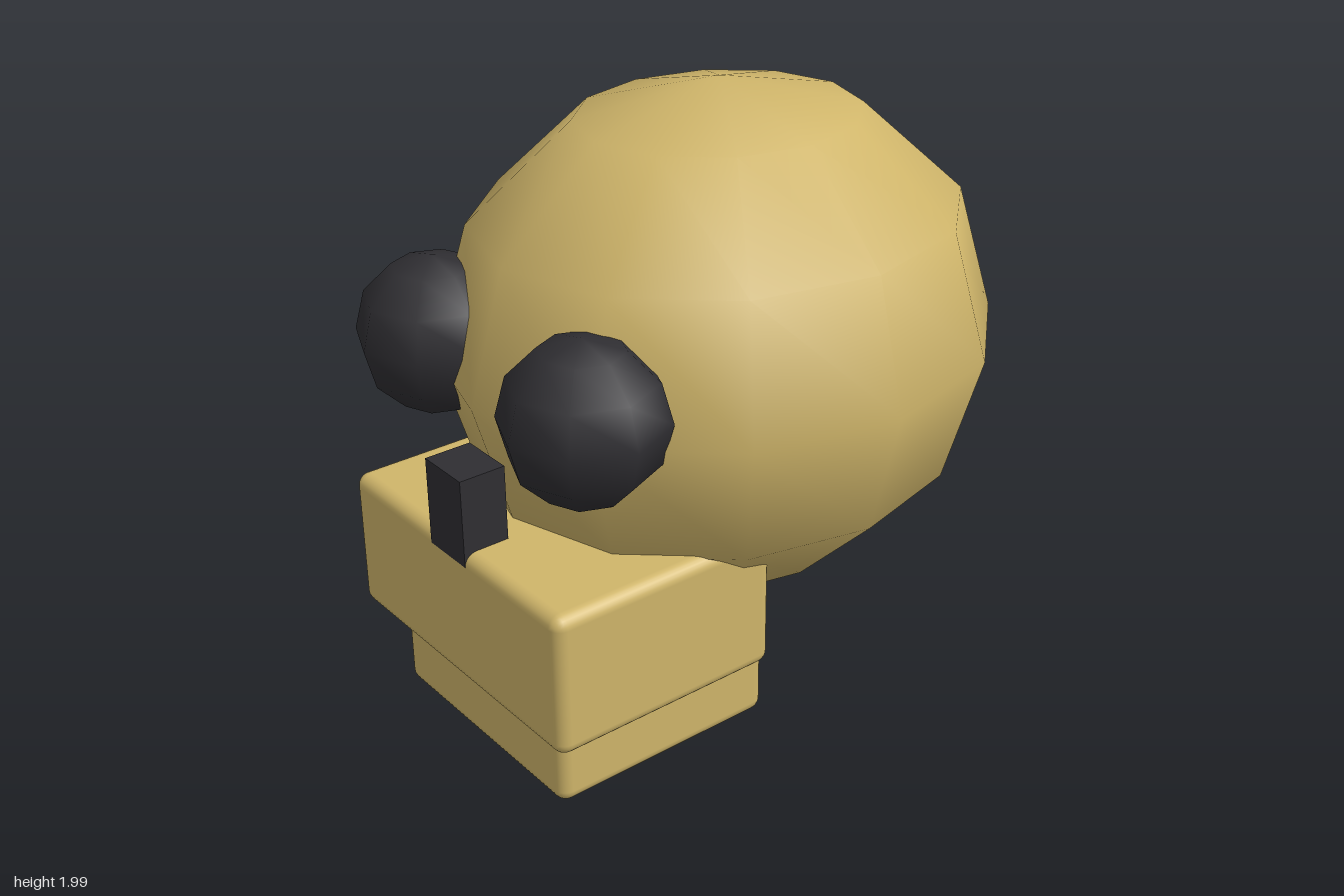
import * as THREE from 'three';
import { RoundedBoxGeometry } from 'three/addons/geometries/RoundedBoxGeometry.js';

export function createModel() {
  const model = new THREE.Group();
  model.name = 'skull';
  const bone = new THREE.MeshStandardMaterial({ color: 0xcfb56a });
  const dark = new THREE.MeshStandardMaterial({ color: 0x2f2e32 });

  const add = (name, geometry, material, x, y, z) => {
    const mesh = new THREE.Mesh(geometry, material);
    mesh.name = name;
    mesh.position.set(x, y, z);
    model.add(mesh);
    return mesh;
  };

  // Cranium: low-poly smooth ball, stretched front to back
  const cranium = new THREE.SphereGeometry(1, 12, 6);
  cranium.scale(0.833, 0.833, 0.935);
  cranium.computeVertexNormals();
  // Keep the shading continuous across the seam and poles
  const p = cranium.attributes.position, n = cranium.attributes.normal;
  const v = new THREE.Vector3();
  for (let i = 0; i < p.count; i++) {
    v.set(p.getX(i) / 0.694, p.getY(i) / 0.694, p.getZ(i) / 0.874).normalize();
    n.setXYZ(i, v.x, v.y, v.z);
  }
  add('cranium', cranium, bone, 0, 1.167, -0.065);

  // Upper and lower jaw: bevelled blocks
  add('upperJaw', new RoundedBoxGeometry(1.12, 0.475, 0.8, 3, 0.042), bone, 0, 0.525, 0.582);
  add('lowerJaw', new RoundedBoxGeometry(0.88, 0.395, 0.8, 3, 0.042), bone, 0, 0.203, 0.503);

  // Nose: upright block flush with the front of the jaw
  add('nose', new THREE.BoxGeometry(0.188, 0.29, 0.155), dark, 0, 0.865, 0.905);

  // Eye sockets: dark balls sunk into the cranium
  for (const [name, side] of [['leftEye', 1], ['rightEye', -1]]) {
    add(name, new THREE.SphereGeometry(0.255, 8, 6), dark, side * 0.387, 1.25, 0.743);
  }

  return model;
}
